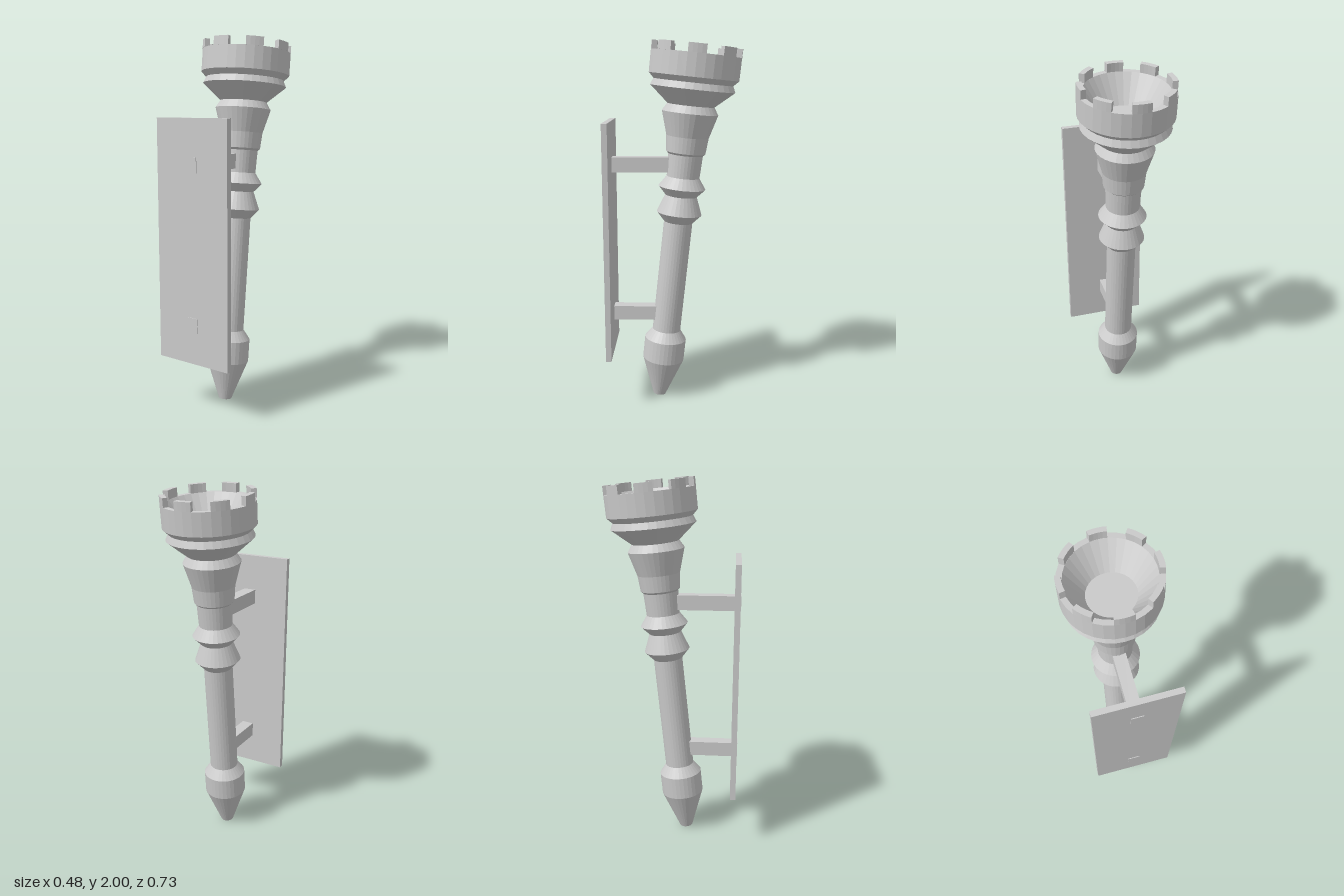
import * as THREE from 'three';

const TILT = THREE.MathUtils.degToRad(-6);
const SIDES = 32;

export function createModel() {
  const model = new THREE.Group();
  model.name = 'wallTorch';
  const material = new THREE.MeshStandardMaterial({ color: 0xcccccc, flatShading: true });

  const add = (parent, name, geometry, x = 0, y = 0, z = 0) => {
    const mesh = new THREE.Mesh(geometry, material);
    mesh.name = name;
    mesh.position.set(x, y, z);
    parent.add(mesh);
    return mesh;
  };
  const lathe = (profile) =>
    new THREE.LatheGeometry(profile.map(([r, y]) => new THREE.Vector2(r, y)), SIDES);

  // Everything on the torch leans away from the wall plate
  const torch = new THREE.Group();
  torch.name = 'torch';
  torch.position.set(0, 0.004, 0.08);
  torch.rotation.x = TILT;
  model.add(torch);

  // Pointed foot
  add(torch, 'foot', lathe([
    [0, 0], [0.036, 0], [0.117, 0.222], [0.117, 0.345], [0.079, 0.398],
  ]));

  // Plain shaft
  add(torch, 'shaft', lathe([[0.079, 0.398], [0.079, 1.029]]));

  // Turned grip: two rings, a neck and a flared knob
  add(torch, 'turnedGrip', lathe([
    [0.079, 1.029], [0.124, 1.079], [0.087, 1.177], [0.129, 1.223],
    [0.09, 1.281], [0.095, 1.404], [0.107, 1.415], [0.115, 1.501],
    [0.152, 1.629], [0.127, 1.669],
  ]));

  // Head: flared cup, collar and hollow bowl
  add(torch, 'head', lathe([
    [0.127, 1.669], [0.228, 1.756], [0.213, 1.79], [0.241, 1.818],
    [0.241, 1.937], [0.213, 1.937], [0.121, 1.80], [0, 1.80],
  ]));

  // Battlements around the rim
  const half = Math.PI / 16;
  const sector = new THREE.Shape();
  sector.absarc(0, 0, 0.241, -half, half, false);
  sector.absarc(0, 0, 0.213, half, -half, true);
  sector.closePath();
  const merlon = new THREE.ExtrudeGeometry(sector, {
    depth: 0.046, bevelEnabled: false, curveSegments: 2,
  });
  merlon.rotateX(-Math.PI / 2);
  const battlements = new THREE.Group();
  battlements.name = 'battlements';
  torch.add(battlements);
  for (let i = 0; i < 8; i++) {
    add(battlements, 'merlon', merlon, 0, 1.937, 0).rotation.y = (i * Math.PI) / 4;
  }

  // Wall plate
  add(model, 'wallPlate', new THREE.BoxGeometry(0.454, 1.29, 0.03), 0, 0.936, 0.348);

  // Bracket arms run from the torch axis through the plate
  const arms = [['upperArm', 1.346, -0.03], ['lowerArm', 0.504, 0.03]];
  for (const [name, y, inner] of arms) {
    const length = 0.367 - inner;
    add(model, name, new THREE.BoxGeometry(0.068, 0.08, length), 0, y, inner + length / 2);
  }

  return model;
}
